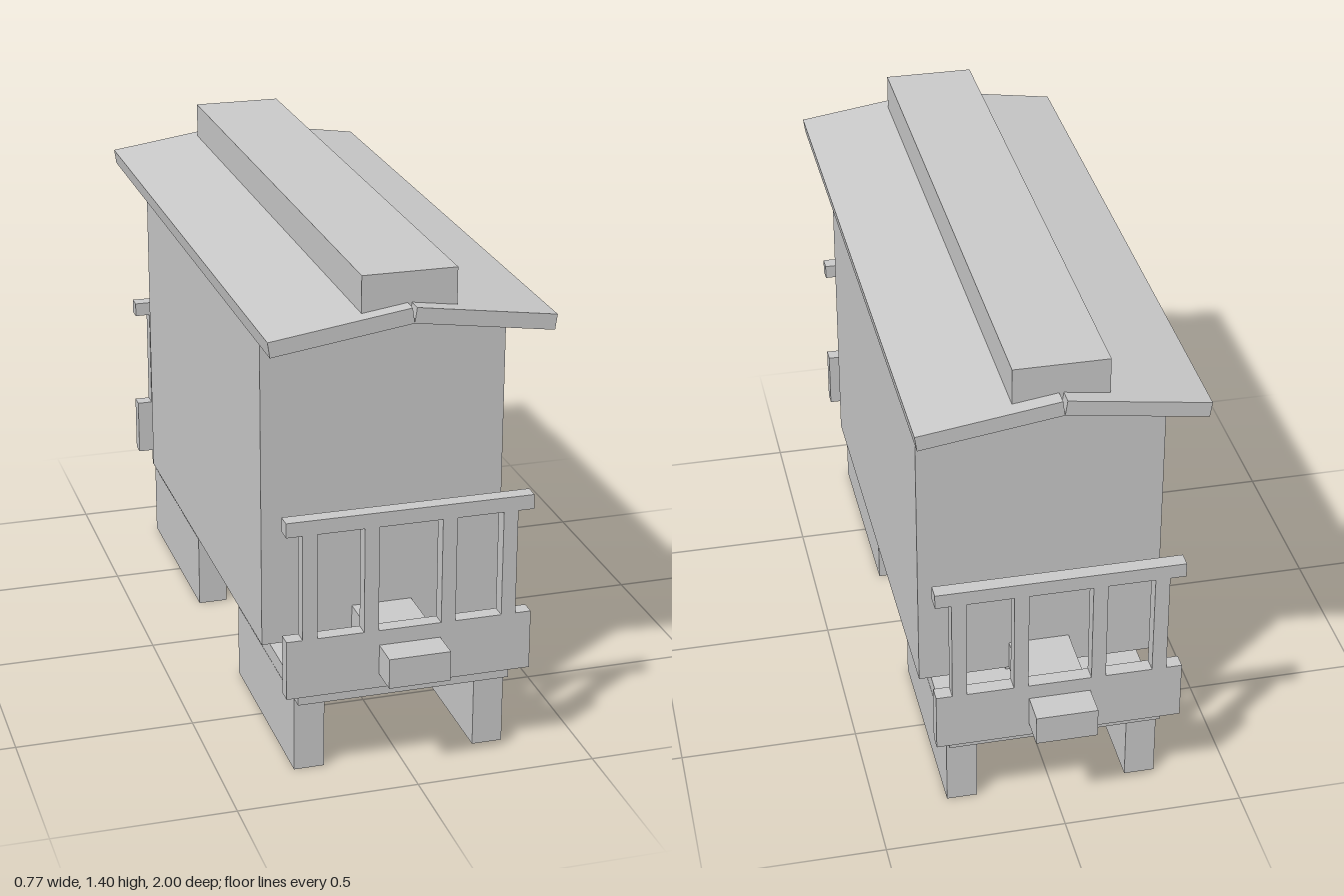
import * as THREE from 'three';

const material = new THREE.MeshStandardMaterial({ color: 0xcccccc, flatShading: true });

// Box given by its min and max along each axis
function box(parent, name, [x0, x1], [y0, y1], [z0, z1]) {
  const mesh = new THREE.Mesh(new THREE.BoxGeometry(x1 - x0, y1 - y0, z1 - z0), material);
  mesh.position.set((x0 + x1) / 2, (y0 + y1) / 2, (z0 + z1) / 2);
  mesh.name = name;
  parent.add(mesh);
}

// Outline in the x-y plane, extruded symmetrically along z
function prism(parent, name, points, length) {
  const shape = new THREE.Shape(points.map(([x, y]) => new THREE.Vector2(x, y)));
  const geometry = new THREE.ExtrudeGeometry(shape, { depth: length, bevelEnabled: false });
  geometry.translate(0, 0, -length / 2);
  const mesh = new THREE.Mesh(geometry, material);
  mesh.name = name;
  parent.add(mesh);
}

// Four-wheel truck under one end
function makeBogie() {
  const bogie = new THREE.Group();
  for (const [side, x] of [['left', 0.255], ['right', -0.255]]) {
    box(bogie, side + 'SideFrame', [x - 0.0425, x + 0.0425], [0, 0.215], [0.24, 0.83]);
  }
  box(bogie, 'topPlate', [-0.297, 0.297], [0.215, 0.26], [0.197, 0.87]);
  box(bogie, 'pivotAbove', [-0.085, 0.085], [0.26, 0.3], [0.45, 0.62]);
  box(bogie, 'pivotBelow', [-0.085, 0.085], [0.17, 0.215], [0.45, 0.62]);
  box(bogie, 'crossBar', [-0.213, 0.213], [0.088, 0.17], [0.493, 0.577]);
  return bogie;
}

// End railing: solid lower panel, four posts and a top rail
function makeRailing() {
  const railing = new THREE.Group();
  const z = [0.87, 0.912];
  box(railing, 'lowerPanel', [-0.34, 0.34], [0.26, 0.428], z);
  box(railing, 'topRail', [-0.34, 0.34], [0.727, 0.768], z);
  for (const x of [-0.276, -0.107, 0.107, 0.276]) {
    box(railing, 'post', [x - 0.02, x + 0.02], [0.428, 0.727], z);
  }
  return railing;
}

export function createModel() {
  const model = new THREE.Group();
  model.name = 'railCar';

  // Gabled body
  prism(model, 'body', [[-0.34, 0.3], [0.34, 0.3], [0.34, 1.231], [0, 1.28], [-0.34, 1.231]], 1.324);

  // Two roof slabs meeting at the ridge, with a raised strip on top
  for (const [side, s] of [['left', 1], ['right', -1]]) {
    const outline = [[0, 1.28], [0.38, 1.225], [0.386, 1.267], [0.006, 1.322]].map(([x, y]) => [s * x, y]);
    prism(model, side + 'Roof', outline, 1.826);
  }
  box(model, 'roofStrip', [-0.128, 0.128], [1.3, 1.405], [-0.87, 0.87]);

  // Bogie, railing and coupler beam at each end
  for (const [end, turn] of [['front', 0], ['back', Math.PI]]) {
    const group = new THREE.Group();
    group.name = end + 'End';
    group.rotation.y = turn;
    const bogie = makeBogie();
    bogie.name = end + 'Bogie';
    const railing = makeRailing();
    railing.name = end + 'Railing';
    group.add(bogie, railing);
    box(group, end + 'Coupler', [-0.085, 0.085], [0.3, 0.385], [0.66, 1]);
    model.add(group);
  }
  return model;
}
